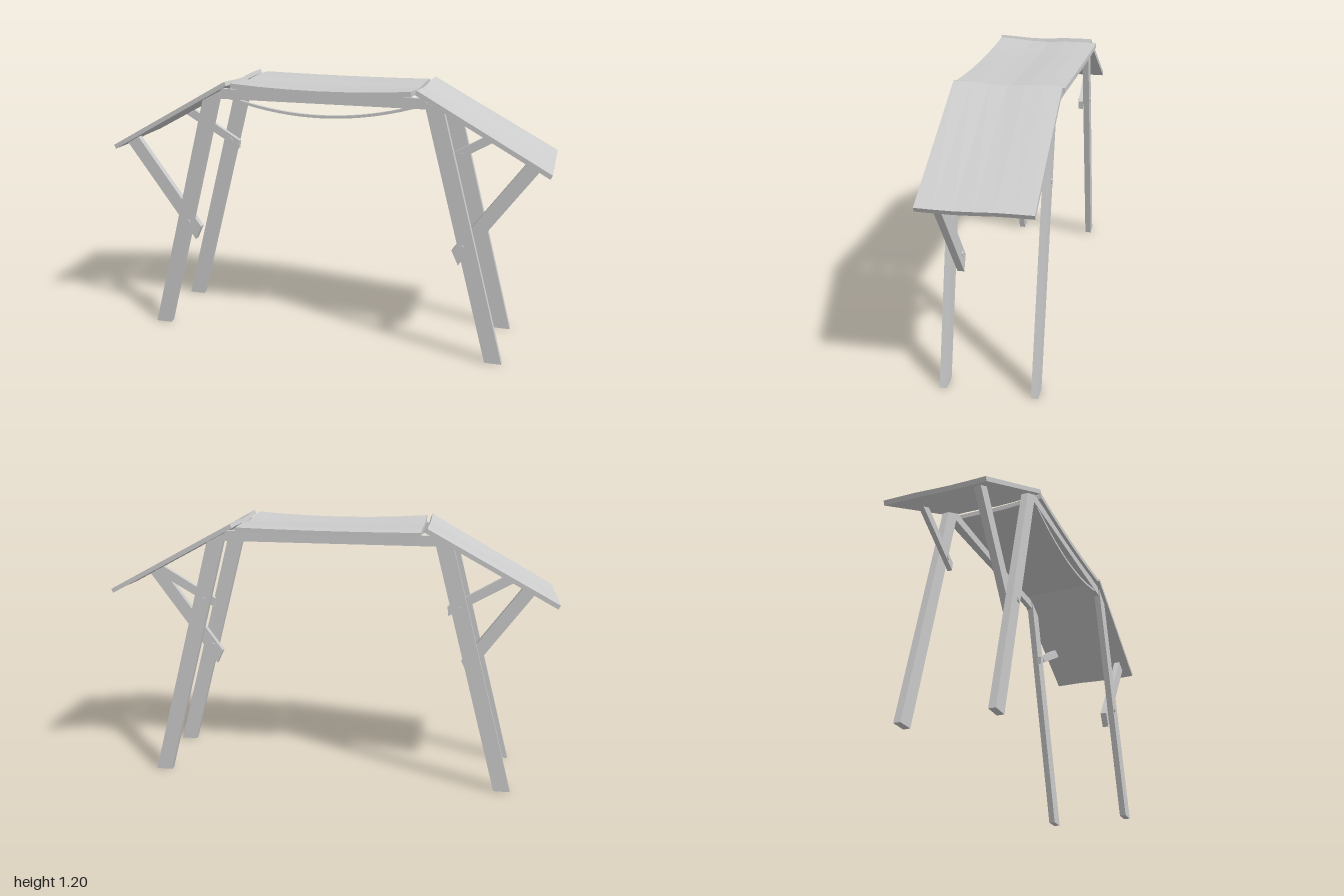
import * as THREE from 'three';

const mat = new THREE.MeshStandardMaterial({ color: 0xcccccc, flatShading: true, side: THREE.DoubleSide });

function add(group, name, geometry) {
  const mesh = new THREE.Mesh(geometry, mat);
  mesh.name = name;
  group.add(mesh);
}

// Flat board: outline in x/y (mirrored by s), running from z0 to z1
function board(points, z0, z1, s = 1) {
  const shape = new THREE.Shape(points.map(([x, y]) => new THREE.Vector2(s * x, y)));
  return new THREE.ExtrudeGeometry(shape, { depth: z1 - z0, bevelEnabled: false }).translate(0, 0, z0);
}

// Linear interpolation through evenly spaced values, t in 0..1
function sample(values, t) {
  const f = t * (values.length - 1);
  const i = Math.min(Math.floor(f), values.length - 2);
  return values[i] + (values[i + 1] - values[i]) * (f - i);
}

// Wavy panel: a segmented box whose corners are moved by rule(u, v, h), each 0..1
function panel(nx, nz, rule) {
  const g = new THREE.BoxGeometry(1, 1, 1, nx, 1, nz);
  const p = g.attributes.position;
  for (let i = 0; i < p.count; i++) {
    p.setXYZ(i, ...rule(p.getX(i) + 0.5, p.getZ(i) + 0.5, p.getY(i) + 0.5));
  }
  g.computeVertexNormals();
  return g;
}

export function createModel() {
  const model = new THREE.Group();

  // Height ripples from back to front
  const upperWave = [-0.003, -0.002, -0.004, -0.01, -0.009, -0.004, 0];
  const lowerWave = [0.002, 0.002, 0.001, -0.003, -0.006, -0.006, -0.005];

  // Centre roof panel, sagging slightly and a little deeper on its right end
  add(model, 'centreRoof', panel(6, 6, (u, v, h) => {
    const back = -0.24 + 0.022 * u;
    const sag = 1 - (2 * u - 1) ** 2;
    return [
      -0.405 + 0.81 * u,
      1.193 + sample(upperWave, v) - 0.006 * (1 - v) - sag * (0.004 + 0.012 * v * v) - 0.022 * (1 - h),
      back + (0.23 - back) * v,
    ];
  }));

  // Beams under the centre roof
  const beam = [[-0.468, 1.12], [0.468, 1.12], [0.457, 1.165], [-0.457, 1.165]];
  add(model, 'frontBeam', board(beam, 0.192, 0.215));
  add(model, 'backBeam', board(beam, -0.195, -0.17));

  // Thin bowed strip hanging below the front beam
  const bow = [];
  for (let i = 0; i <= 20; i++) {
    const t = i / 10 - 1;
    bow.push([0.46 * t, 1.057 + 0.076 * t * t]);
  }
  const bowTop = bow.map(([x, y]) => [x, y + 0.012]).reverse();
  add(model, 'frontBow', board([...bow, ...bowTop], 0.195, 0.212));

  const leg = [[0.84, 0], [0.765, 0], [0.465, 1.13], [0.46, 1.155], [0.545, 1.11]];
  const lowBrace = [[0.95, 0.885], [0.895, 0.915], [0.595, 0.5], [0.625, 0.435]];
  const highBrace = [[0.805, 0.967], [0.76, 0.99], [0.525, 0.85], [0.53, 0.81]];

  for (const s of [1, -1]) {
    const side = new THREE.Group();
    side.name = s > 0 ? 'leftSide' : 'rightSide';
    model.add(side);

    // Sloping roof panel
    add(side, 'sideRoof', panel(1, 6, (u, v, h) => {
      const t = s > 0 ? u : 1 - u;
      const wave = sample(upperWave, v) * (1 - t) + sample(lowerWave, v) * t;
      return [
        s * (0.43 + 0.57 * t - 0.008 * (1 - h)),
        1.2 - 0.315 * t + wave - 0.018 * (1 - h),
        -0.212 + 0.447 * v,
      ];
    }));

    // Splayed legs
    add(side, 'frontLeg', board(leg, 0.19, 0.22, s));
    add(side, 'backLeg', board(leg, -0.195, -0.165, s));

    // Diagonal braces on the inner faces of the legs
    add(side, 'frontBrace', board(lowBrace, 0.16, 0.19, s));
    add(side, 'backBrace', board(highBrace, -0.165, -0.143, s));

    // Bolts through the leg and brace
    for (const [name, x, y, z, length] of [
      ['frontBolt', 0.645, 0.528, 0.19, 0.072],
      ['backBolt', 0.572, 0.85, -0.169, 0.062],
    ]) {
      const bolt = new THREE.CylinderGeometry(0.012, 0.012, length, 6);
      add(side, name, bolt.rotateX(Math.PI / 2).translate(s * x, y, z));
    }
  }
  return model;
}
